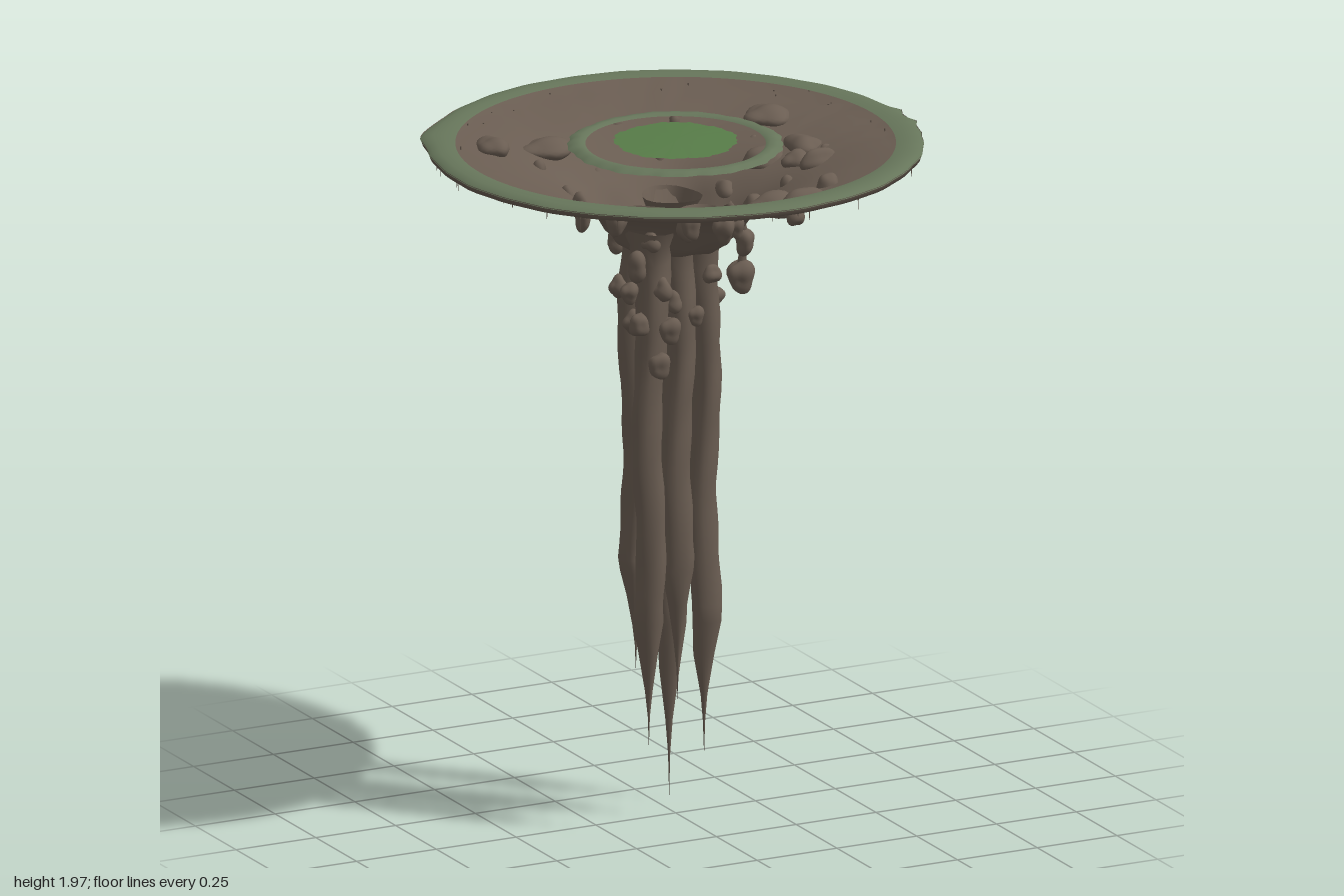
import * as THREE from 'three';
import { mergeVertices } from 'three/addons/utils/BufferGeometryUtils.js';

const material = (name, color, side = THREE.FrontSide) => {
  const m = new THREE.MeshStandardMaterial({ color, side });
  m.name = name;
  return m;
};

function seeded(seed) {
  return () => {
    seed = (seed * 16807) % 2147483647;
    return seed / 2147483647;
  };
}

// Move every vertex by a rule, weld the seams and smooth the normals
function warp(geometry, rule) {
  geometry.deleteAttribute('uv');
  geometry.deleteAttribute('normal');
  const g = mergeVertices(geometry, 1e-5);
  const p = g.attributes.position;
  const v = new THREE.Vector3();
  for (let i = 0; i < p.count; i++) {
    v.fromBufferAttribute(p, i);
    rule(v);
    p.setXYZ(i, v.x, v.y, v.z);
  }
  g.computeVertexNormals();
  return g;
}

const lathe = (pts, sides) => new THREE.LatheGeometry(pts.map(([r, y]) => new THREE.Vector2(r, y)), sides);

// Ragged outline factor around a circle
const ragged = (a, k) => 1 + k * (Math.sin(a * 5 + 1) * 0.4 + Math.sin(a * 13) * 0.35 + Math.sin(a * 29 + 2) * 0.35);

// Extra bulge and chips of the outer rim
function rimFactor(a) {
  const bump = (c, w, h) => h * Math.exp(-(((a - c) / w) ** 2));
  return ragged(a, 0.006) + bump(-2.55, 0.12, 0.035) + bump(0, 0.025, 0.02) + bump(0.15, 0.025, 0.02) + bump(0.3, 0.03, 0.01);
}

// Funnel profile from the rim to the bottom
const FUNNEL = [[0.692, 1.985], [0.688, 1.968], [0.6, 1.955], [0.5, 1.932], [0.4, 1.9], [0.32, 1.865],
  [0.26, 1.825], [0.22, 1.785], [0.19, 1.74], [0.15, 1.71], [0.08, 1.695], [0, 1.69]];

function funnelY(r) {
  for (let i = 1; i < FUNNEL.length; i++) {
    const [r0, y0] = FUNNEL[i - 1], [r1, y1] = FUNNEL[i];
    if (r >= r1 && r <= r0) return y1 + ((y0 - y1) * (r - r1)) / (r0 - r1);
  }
  return 1.97;
}

export function createModel() {
  const root = new THREE.Group();
  root.name = 'hangingRootIsland';
  const soil = material('soil brown', 0x6a5d52);
  const soilOpen = material('soil brown open', 0x6a5d52, THREE.DoubleSide);
  const moss = material('moss green', 0x66755a, THREE.DoubleSide);
  const grass = material('grass green', 0x577c48, THREE.DoubleSide);
  const rand = seeded(71);

  const add = (name, geometry, mat, parent = root) => {
    const m = new THREE.Mesh(geometry, mat);
    m.name = name;
    parent.add(m);
    return m;
  };

  // Earth funnel, seen from inside and outside
  add('earthFunnel', warp(lathe([...FUNNEL].reverse(), 120), (v) => {
    const r = Math.hypot(v.x, v.z), a = Math.atan2(v.z, v.x);
    const t = THREE.MathUtils.clamp((1.97 - v.y) / 0.25, 0, 1);
    const f = THREE.MathUtils.lerp(rimFactor(a), 1 + 0.06 * Math.sin(a * 5 + 0.6) * t, Math.min(1, t * 4));
    v.x = v.x * f - 0.02 * t;
    v.z = v.z * f + 0.02 * t;
    if (r < 0.6) v.y += 0.005 * Math.sin(r * 40 + a * 3) * Math.sin(a * 7);
  }), soilOpen);

  // Mossy outer rim
  add('outerMossRim', warp(lathe([[0.615, 1.99], [0.64, 1.995], [0.665, 1.994], [0.683, 1.99], [0.693, 1.982]], 160), (v) => {
    const r = Math.hypot(v.x, v.z);
    const t = (r - 0.615) / 0.078;
    const f = THREE.MathUtils.lerp(1, rimFactor(Math.atan2(v.z, v.x)), t);
    v.x *= f;
    v.z *= f;
  }), moss);

  // Inner moss ring around the opening
  add('innerMossRing', warp(lathe([[0.252, 1.988], [0.265, 1.994], [0.285, 1.992], [0.301, 1.982]], 120), (v) => {
    const r = Math.hypot(v.x, v.z);
    const f = THREE.MathUtils.lerp(1, ragged(Math.atan2(v.z, v.x), 0.025), (r - 0.252) / 0.049);
    v.x *= f;
    v.z *= f;
  }), moss);

  // Grass disc in the middle
  add('grassDisc', warp(lathe([[0, 2], [0.1, 1.999], [0.172, 1.995]], 72), (v) => {
    const f = ragged(Math.atan2(v.z, v.x), 0.05);
    v.x *= f;
    v.z *= f;
  }), grass);

  // Hanging roots: x, z, tip height, height where the taper starts
  const roots = new THREE.Group();
  roots.name = 'hangingRoots';
  root.add(roots);
  const LEGS = [[-0.157, 0.143, 0.28, 0.65], [-0.05, 0.11, 0.39, 0.78], [0.038, 0.1, 0.22, 0.62],
    [0.045, -0.128, 0.03, 0.55], [-0.13, 0.01, 0.47, 0.76]];
  LEGS.forEach(([x, z, tip, start], n) => {
    const h = start - tip;
    const profile = [[0, tip], [0.003, tip + h * 0.25], [0.01, tip + h * 0.45], [0.028, tip + h * 0.75], [0.042, start]];
    for (let i = 1; i <= 24; i++) {
      const y = start + ((1.7 - start) * i) / 24;
      profile.push([0.041 + 0.012 * Math.max(0, (y - 1.4) / 0.3), y]);
    }
    profile.push([0.063, 1.75], [0.085, 1.8]);
    const g = warp(lathe(profile, 18), (v) => {
      const a = Math.atan2(v.z, v.x);
      const f = 1 + 0.07 * Math.sin(a * 3 + v.y * 5 + n) + 0.06 * Math.sin(v.y * 31 + n * 2 + a * 2);
      const up = Math.max(0, (v.y - 1.55) / 0.25);
      const wave = v.y > start ? 0.006 : 0;
      v.x = v.x * f + x * (1 - 0.1 * up) + wave * Math.sin(v.y * 9 + n);
      v.z = v.z * f + z * (1 - 0.1 * up) + wave * Math.cos(v.y * 8 + n);
    });
    add('root' + (n + 1), g, soilOpen, roots);
  });

  // Side rootlet
  const path = new THREE.CatmullRomCurve3([[0.12, 1.82, 0.08], [0.165, 1.75, 0.085], [0.17, 1.67, 0.08], [0.155, 1.58, 0.08]]
    .map((p) => new THREE.Vector3(...p)));
  add('sideRootlet', new THREE.TubeGeometry(path, 14, 0.012, 8), soil, roots);

  // Rocks embedded in the funnel and clinging to the roots
  const rocks = new THREE.Group();
  rocks.name = 'rocks';
  root.add(rocks);
  const rock = (x, y, z, sx, sy = sx, sz = sx) => {
    const k = rand() * 20;
    const g = warp(new THREE.IcosahedronGeometry(1, 4), (v) => {
      const f = 1 + 0.12 * Math.sin(v.x * 3 + k) + 0.1 * Math.sin(v.y * 4 + k * 2) + 0.08 * Math.sin(v.z * 5 + k * 3);
      v.multiplyScalar(f);
      v.set(v.x * sx, v.y * sy, v.z * sz);
    });
    add('rock', g, soil, rocks).position.set(x, y, z);
  };

  // Rocks showing through the bowl: x, z, width, depth
  [[-0.41, -0.33, 0.04, 0.06], [-0.23, -0.35, 0.078, 0.06], [0.42, -0.27, 0.062, 0.07], [0.33, -0.09, 0.06, 0.06],
    [0.43, -0.05, 0.042, 0.065], [0.41, 0.08, 0.05, 0.035], [0.37, 0.01, 0.04, 0.04], [0.21, -0.1, 0.03, 0.05],
    [0.22, 0.05, 0.025, 0.045], [0.12, 0.37, 0.08, 0.06], [0.17, 0.46, 0.06, 0.055], [0.3, 0.35, 0.03, 0.035],
    [-0.37, 0.14, 0.028, 0.04]].forEach(([x, z, sx, sz]) => rock(x, funnelY(Math.hypot(x, z)) - 0.004, z, sx, 0.036, sz));

  // Rocks hanging under the funnel: x, z, size
  [[-0.38, 0.18, 0.03], [-0.32, 0.27, 0.032], [-0.21, 0.5, 0.03], [-0.02, 0.33, 0.036], [0.08, 0.58, 0.026],
    [0.23, 0.2, 0.03], [0.3, 0.1, 0.03], [0.34, -0.2, 0.028], [0.1, -0.3, 0.03], [-0.1, -0.28, 0.03],
    [-0.28, -0.12, 0.03], [-0.18, 0.42, 0.034], [0.2, -0.4, 0.026], [0.05, -0.45, 0.026], [-0.3, -0.25, 0.028],
    [0.46, 0.02, 0.025], [0.28, -0.1, 0.03], [0.05, 0.27, 0.025]].forEach(([x, z, s]) =>
    rock(x, funnelY(Math.hypot(x, z)) - s * 0.95, z, s * 0.85, s * 1.3, s * 0.85));

  // Pebbles on the roots: x, y, z, size
  [[-0.2, 1.7, 0.16, 0.035], [-0.22, 1.62, 0.14, 0.028], [-0.14, 1.63, 0.19, 0.032], [-0.2, 1.53, 0.17, 0.03],
    [-0.12, 1.51, 0.19, 0.034], [-0.15, 1.41, 0.185, 0.034], [-0.09, 1.58, 0.16, 0.028], [-0.17, 1.77, 0.18, 0.03],
    [-0.02, 1.53, 0.155, 0.026], [0.04, 1.64, 0.145, 0.026], [0.175, 1.7, 0.085, 0.032], [0.158, 1.6, 0.08, 0.042],
    [0.09, 1.55, 0.07, 0.028], [0.06, 1.42, -0.18, 0.032], [0.03, 1.3, -0.17, 0.026], [0.02, 1.5, -0.14, 0.026],
    [0.08, 1.36, -0.11, 0.024], [-0.19, 1.6, 0.02, 0.03], [-0.16, 1.5, 0.05, 0.032], [-0.17, 1.72, -0.03, 0.03]]
    .forEach(([x, y, z, s]) => rock(x, y, z, s * 0.9, s * 1.1, s * 0.9));

  // Fine root threads under the rim
  const threads = new THREE.Group();
  threads.name = 'rimThreads';
  root.add(threads);
  for (let i = 0; i < 40; i++) {
    const a = rand() * Math.PI * 2, r = 0.6 + rand() * 0.08, len = 0.02 + rand() * 0.04;
    const m = add('rimThread', new THREE.ConeGeometry(0.0025, len, 5), soil, threads);
    m.rotation.x = Math.PI;
    m.position.set(r * Math.cos(a), funnelY(r) - len / 2 + 0.005, r * Math.sin(a));
  }
  return root;
}
